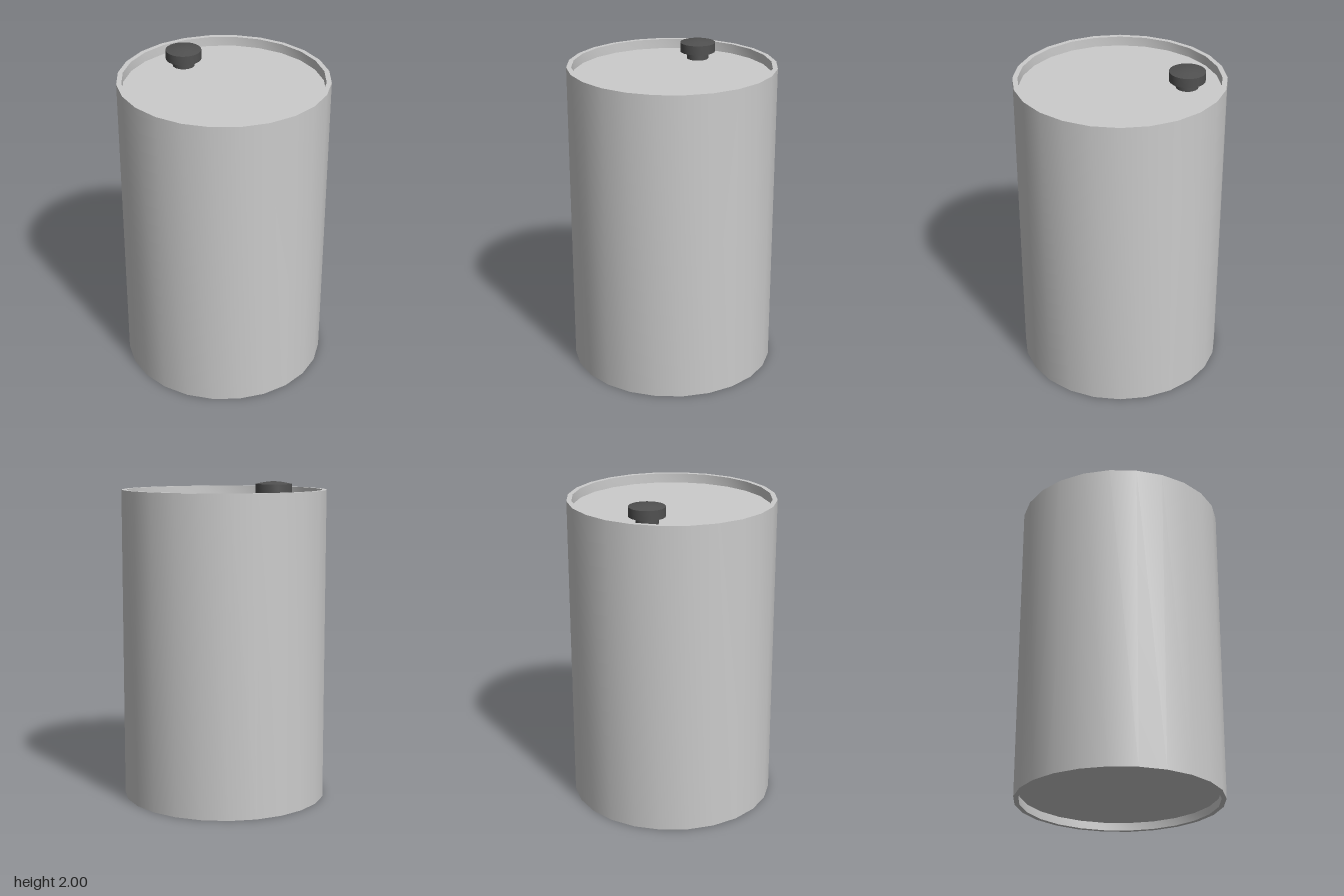
import * as THREE from 'three';
import { toCreasedNormals } from 'three/addons/utils/BufferGeometryUtils.js';

// Revolve a profile, keeping its corners crisp and its sides smooth
function turned(name, profile, sides, color) {
  const points = profile.map(([r, y]) => new THREE.Vector2(r, y));
  const geometry = toCreasedNormals(new THREE.LatheGeometry(points, sides), Math.PI / 6);
  const mesh = new THREE.Mesh(geometry, new THREE.MeshStandardMaterial({ color }));
  mesh.name = name;
  return mesh;
}

export function createModel() {
  const group = new THREE.Group();
  group.name = 'drum';

  const outer = 0.64, inner = 0.61;
  const top = 1.94, lid = 1.88, floor = 0.05;

  // Drum wall with raised rims around a sunken lid and base
  group.add(turned('drumBody', [
    [0, floor], [inner, floor], [inner, 0], [outer, 0],
    [outer, top], [inner, top], [inner, lid], [0, lid],
  ], 24, 0xcccccc));

  // Filler cap: narrow neck, wide head, slightly domed top
  const cap = new THREE.Group();
  cap.name = 'fillerCap';
  cap.position.set(0, 0, -0.4);
  cap.add(turned('capNeck', [[0.068, lid - 0.01], [0.068, 1.93]], 32, 0x505050));
  cap.add(turned('capHead', [
    [0, 1.925], [0.11, 1.925], [0.11, 1.983], [0.055, 1.994], [0, 2],
  ], 32, 0x505050));
  group.add(cap);

  return group;
}
